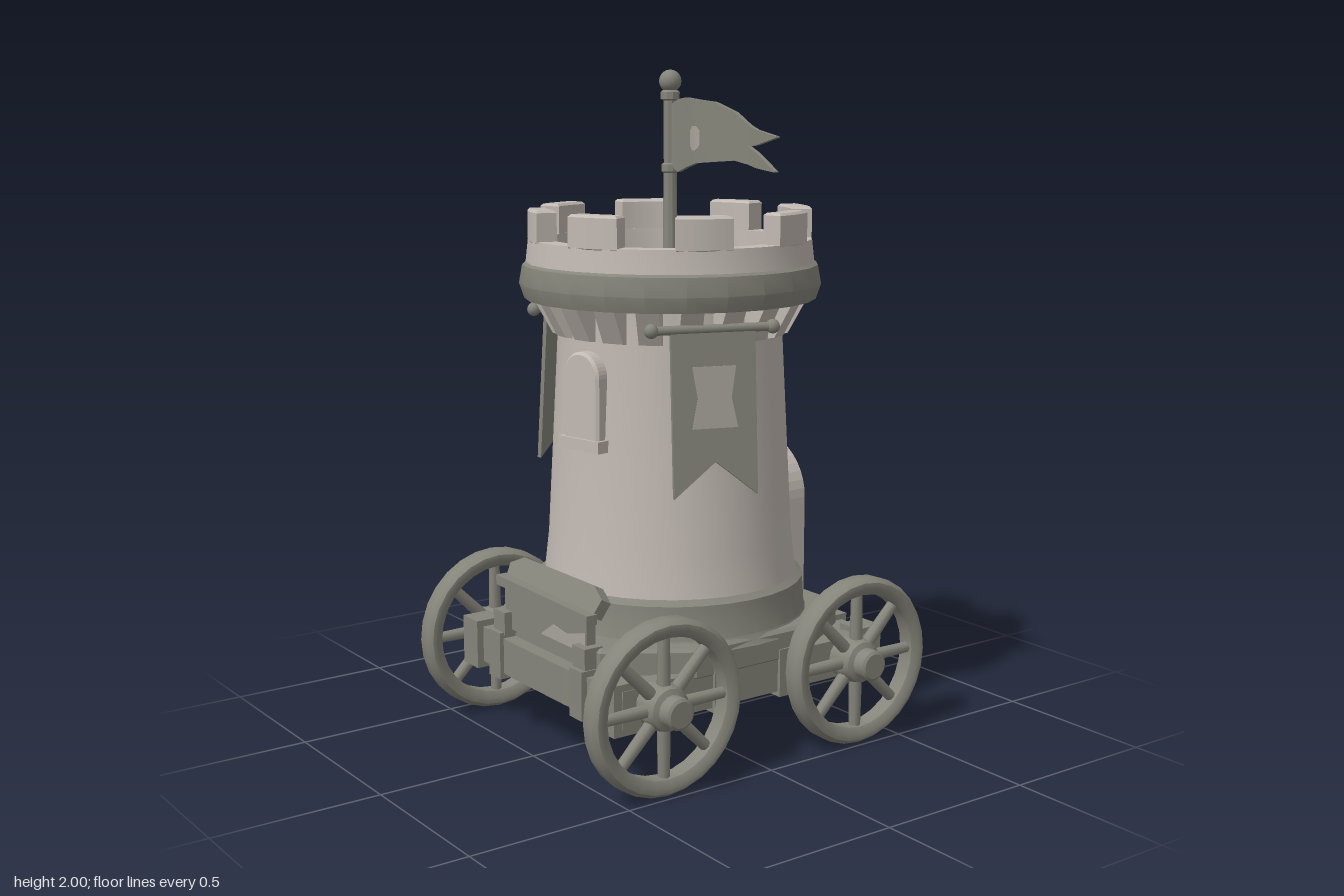
import * as THREE from 'three';
import { toCreasedNormals } from 'three/addons/utils/BufferGeometryUtils.js';

const material = (name, color) => Object.assign(new THREE.MeshStandardMaterial({ color }), { name });

export function createModel() {
  const stone = material('light stone', 0xc2bab3);
  const dark = material('dark grey', 0x86857b);
  const pale = material('pale emblem', 0xa8a49b);
  const model = new THREE.Group();

  const add = (name, geo, mat, parent = model, x = 0, y = 0, z = 0) => {
    const mesh = new THREE.Mesh(geo, mat);
    mesh.name = name;
    mesh.position.set(x, y, z);
    parent.add(mesh);
    return mesh;
  };
  const box = (name, w, h, d, mat, parent, x, y, z) =>
    add(name, new THREE.BoxGeometry(w, h, d), mat, parent, x, y, z);
  const lathe = (points, sides = 32, crease = 0.5) => toCreasedNormals(
    new THREE.LatheGeometry(points.map(p => new THREE.Vector2(...p)), sides), crease);
  const group = (name, angle = 0, parent = model) => {
    const g = new THREE.Group();
    g.name = name;
    g.rotation.y = angle;
    parent.add(g);
    return g;
  };
  const extrude = (shape, depth, bevel = 0) => new THREE.ExtrudeGeometry(shape, {
    depth, curveSegments: 10, bevelEnabled: bevel > 0,
    bevelSize: bevel, bevelThickness: bevel, bevelOffset: -bevel, bevelSegments: 1 });
  const polygon = points => new THREE.Shape(points.map(p => new THREE.Vector2(...p)));
  // Round-headed opening, standing on y = 0
  const trace = (path, half, height) => {
    path.moveTo(-half, 0);
    path.lineTo(half, 0);
    path.lineTo(half, height - half);
    path.absarc(0, height - half, half, 0, Math.PI, false);
    path.lineTo(-half, 0);
    return path;
  };
  // Solid strip of cloth through columns of [x, bottom, top, z]
  const cloth = (columns, t) => {
    const pos = [], index = [], n = columns.length;
    for (const [x, b, top, z] of columns) pos.push(x, b, z + t, x, top, z + t, x, top, z - t, x, b, z - t);
    for (let i = 0; i < n - 1; i++) for (let k = 0; k < 4; k++) {
      const a = i * 4 + k, b = i * 4 + (k + 1) % 4;
      index.push(a, a + 4, b, b, a + 4, b + 4);
    }
    const e = (n - 1) * 4;
    index.push(0, 1, 2, 0, 2, 3, e, e + 2, e + 1, e, e + 3, e + 2);
    const geo = new THREE.BufferGeometry();
    geo.setAttribute('position', new THREE.Float32BufferAttribute(pos, 3));
    geo.setIndex(index);
    return toCreasedNormals(geo, 0.6);
  };

  // Tower body
  add('towerWall', lathe([[0.385, 0.49], [0.37, 0.62], [0.352, 0.95], [0.336, 1.25], [0.336, 1.36]]), stone);
  add('towerFoot', lathe([[0.43, 0.36], [0.412, 0.39], [0.405, 0.49], [0.385, 0.505]]), dark);
  add('parapetBand', lathe([[0.335, 1.335], [0.435, 1.335], [0.45, 1.38], [0.44, 1.435], [0.425, 1.445]], 24), dark);
  add('parapetWall', lathe([[0.43, 1.44], [0.422, 1.51], [0.36, 1.51], [0.355, 1.34]], 24), stone);
  add('roofFloor', lathe([[0.36, 1.345], [0.2, 1.36], [0, 1.37]]), dark);

  // Battlements
  const arc = new THREE.Shape();
  arc.absarc(0, 0, 0.422, -Math.PI / 16, Math.PI / 16, false);
  arc.absarc(0, 0, 0.36, Math.PI / 16, -Math.PI / 16, true);
  const merlonGeo = extrude(arc, 0.086, 0.007).rotateX(-Math.PI / 2);
  for (let i = 0; i < 8; i++) {
    add('merlon', merlonGeo, stone, model, 0, 1.507, 0).rotation.y = (i + 0.5) * Math.PI / 4;
  }

  // Corbels below the parapet
  const corbelGeo = extrude(polygon([[0.32, 1.23], [0.355, 1.235], [0.41, 1.337], [0.32, 1.337]]), 0.065)
    .translate(0, 0, -0.0325);
  for (let i = 0; i < 20; i++) add('corbel', corbelGeo, stone).rotation.y = (i + 0.5) * Math.PI / 10;

  // Windows
  const arch = (name, parent, half, height, rim, y, back, front) => {
    const shape = trace(new THREE.Shape(), half, height);
    shape.holes.push(trace(new THREE.Path(), half - rim, height - rim));
    add(name, extrude(shape, front - back - 0.012, 0.008), stone, parent, 0, y, back);
  };
  for (const [angle, front] of [[0.18, 0.378], [Math.PI + 0.08, 0.395]]) {
    const win = group('window', angle);
    arch('windowFrame', win, 0.072, 0.265, 0.03, 0.94, 0.32, front);
    add('windowPane', extrude(trace(new THREE.Shape(), 0.05, 0.24), 0.03), dark, win, 0, 0.94, 0.327);
    box('windowSill', 0.165, 0.035, 0.07, stone, win, 0, 0.937, front - 0.03);
  }

  // Back door
  const door = group('door', Math.PI + 0.08);
  arch('doorFrame', door, 0.175, 0.5, 0.05, 0.365, 0.3, 0.415);
  add('doorPanel', extrude(trace(new THREE.Shape(), 0.135, 0.46), 0.06), dark, door, 0, 0.365, 0.326);
  add('doorKnob', new THREE.SphereGeometry(0.016, 10, 8), dark, door, -0.085, 0.56, 0.396);

  // Side banners
  const bannerShape = polygon([[-0.125, 0], [-0.125, -0.47], [0, -0.37], [0.125, -0.47], [0.125, 0]]);
  const emblem = polygon([[-0.065, -0.1], [0.065, -0.1], [0.05, -0.19], [0.068, -0.275],
    [-0.068, -0.275], [-0.05, -0.19]]);
  for (const s of [1, -1]) {
    const hanger = group('banner', s * 1.26);
    const sheet = group('bannerCloth', 0, hanger);
    sheet.position.set(0, 1.28, 0.375);
    sheet.rotation.x = -0.07;
    add('bannerSheet', extrude(bannerShape, 0.014), dark, sheet);
    add('bannerEmblem', extrude(emblem, 0.003), pale, sheet, 0, 0, 0.013);
    add('bannerRod', new THREE.CylinderGeometry(0.013, 0.013, 0.36, 10).rotateZ(Math.PI / 2), dark, hanger, 0, 1.285, 0.382);
    for (const e of [1, -1]) {
      add('rodKnob', new THREE.SphereGeometry(0.021, 10, 8), dark, hanger, e * 0.18, 1.285, 0.382);
    }
  }

  // Flagpole
  add('flagpole', lathe([[0.065, 1.35], [0.055, 1.39], [0.026, 1.42], [0.022, 1.44], [0.02, 1.7], [0.026, 1.705],
    [0.026, 1.725], [0.019, 1.73], [0.019, 1.91], [0.028, 1.915], [0.028, 1.935], [0.016, 1.945]], 10), dark);
  add('poleFinial', new THREE.SphereGeometry(0.033, 14, 10), dark, model, 0, 1.967, 0);

  // Swallow-tailed flag
  add('flagCloth', cloth([[0.015, 1.72, 1.9, 0], [0.05, 1.705, 1.915, 0.002], [0.1, 1.72, 1.92, 0.01],
    [0.17, 1.735, 1.915, 0.026], [0.23, 1.74, 1.908, 0.008], [0.29, 1.745, 1.88, -0.02],
    [0.34, 1.735, 1.845, -0.03]], 0.007), dark);
  add('flagTailUpper', cloth([[0.34, 1.785, 1.845, -0.03], [0.38, 1.79, 1.832, -0.026], [0.475, 1.813, 1.816, -0.02]], 0.007), dark);
  add('flagTailLower', cloth([[0.34, 1.735, 1.785, -0.03], [0.38, 1.727, 1.77, -0.026], [0.47, 1.718, 1.721, -0.02]], 0.007), dark);
  add('flagEmblem', cloth([[0.13, 1.785, 1.825, 0.015], [0.145, 1.77, 1.84, 0.019], [0.17, 1.77, 1.84, 0.026],
    [0.185, 1.785, 1.825, 0.021]], 0.009), pale);

  // Cart bed and its eight-sided deck
  box('cartBed', 0.78, 0.12, 0.9, dark, model, 0, 0.25, 0);
  add('deck', extrude(polygon([[0.42, 0.21], [0.27, 0.44], [-0.27, 0.44], [-0.42, 0.21],
    [-0.42, -0.21], [-0.27, -0.44], [0.27, -0.44], [0.42, -0.21]]), 0.075, 0.01).rotateX(-Math.PI / 2), dark, model, 0, 0.3, 0);
  for (const s of [1, -1]) {
    box('sideBeam', 0.06, 0.115, 0.9, dark, model, s * 0.385, 0.255, 0);
    // Gently bowed end beam
    const beam = extrude(polygon([[-0.42, 0.42], [0.42, 0.42], [0.42, 0.465], [0.15, 0.485], [-0.15, 0.485], [-0.42, 0.465]]), 0.11);
    const endBeam = add('endBeam', beam.rotateX(Math.PI / 2), dark, model, 0, 0.31, 0);
    if (s < 0) endBeam.rotation.y = Math.PI;
    for (const e of [1, -1]) {
      box('cornerBlock', 0.085, 0.15, 0.09, dark, model, e * 0.375, 0.255, s * 0.448);
      box('beamBracket', 0.065, 0.145, 0.11, dark, model, e * 0.225, 0.255, s * 0.44);
      box('sideBracket', 0.05, 0.145, 0.06, dark, model, e * 0.4, 0.255, s * 0.12);
    }
  }

  // Front bench
  const bench = group('bench');
  box('benchPanel', 0.45, 0.13, 0.03, dark, bench, 0, 0.4, 0.44);
  add('benchPatch', extrude(polygon([[-0.02, 0.365], [0.22, 0.365], [0.22, 0.425], [0.12, 0.4], [0.05, 0.41]]), 0.004),
    pale, bench, 0, 0, 0.453);
  add('benchBack', extrude(polygon([[-0.24, 0], [0.24, 0], [0.25, 0.055], [0.19, 0.085], [-0.19, 0.085], [-0.25, 0.055]]), 0.035),
    dark, bench, 0, 0.46, 0.415).rotation.x = -0.5;
  const rail = box('benchRail', 0.5, 0.03, 0.035, dark, bench, 0, 0.475, 0.453);
  rail.rotation.z = -0.02;
  for (const e of [1, -1]) box('benchFoot', 0.065, 0.07, 0.06, dark, bench, e * 0.22, 0.355, 0.45);

  // Wheels and axles
  const rimGeo = lathe([[0.205, -0.025], [0.225, -0.038], [0.243, -0.036], [0.256, -0.018], [0.256, 0.018],
    [0.243, 0.036], [0.225, 0.038], [0.205, 0.025], [0.205, -0.025]], 28, 0.7).rotateZ(-Math.PI / 2);
  const hubGeo = lathe([[0, -0.045], [0.065, -0.045], [0.07, 0], [0.062, 0.035], [0.046, 0.042],
    [0.046, 0.08], [0.038, 0.086], [0, 0.086]], 16).rotateZ(-Math.PI / 2);
  const spokeGeo = new THREE.CylinderGeometry(0.017, 0.02, 0.17, 8).translate(0, 0.135, 0);
  for (const z of [0.355, -0.355]) {
    add('axle', new THREE.CylinderGeometry(0.04, 0.04, 0.86, 12).rotateZ(Math.PI / 2), dark, model, 0, 0.257, z);
    for (const s of [1, -1]) {
      const wheel = group('wheel', s > 0 ? 0 : Math.PI);
      wheel.position.set(s * 0.46, 0.257, z);
      add('wheelRim', rimGeo, dark, wheel);
      add('wheelHub', hubGeo, dark, wheel);
      for (let i = 0; i < 8; i++) add('wheelSpoke', spokeGeo, dark, wheel).rotation.x = i * Math.PI / 4;
    }
  }
  return model;
}
